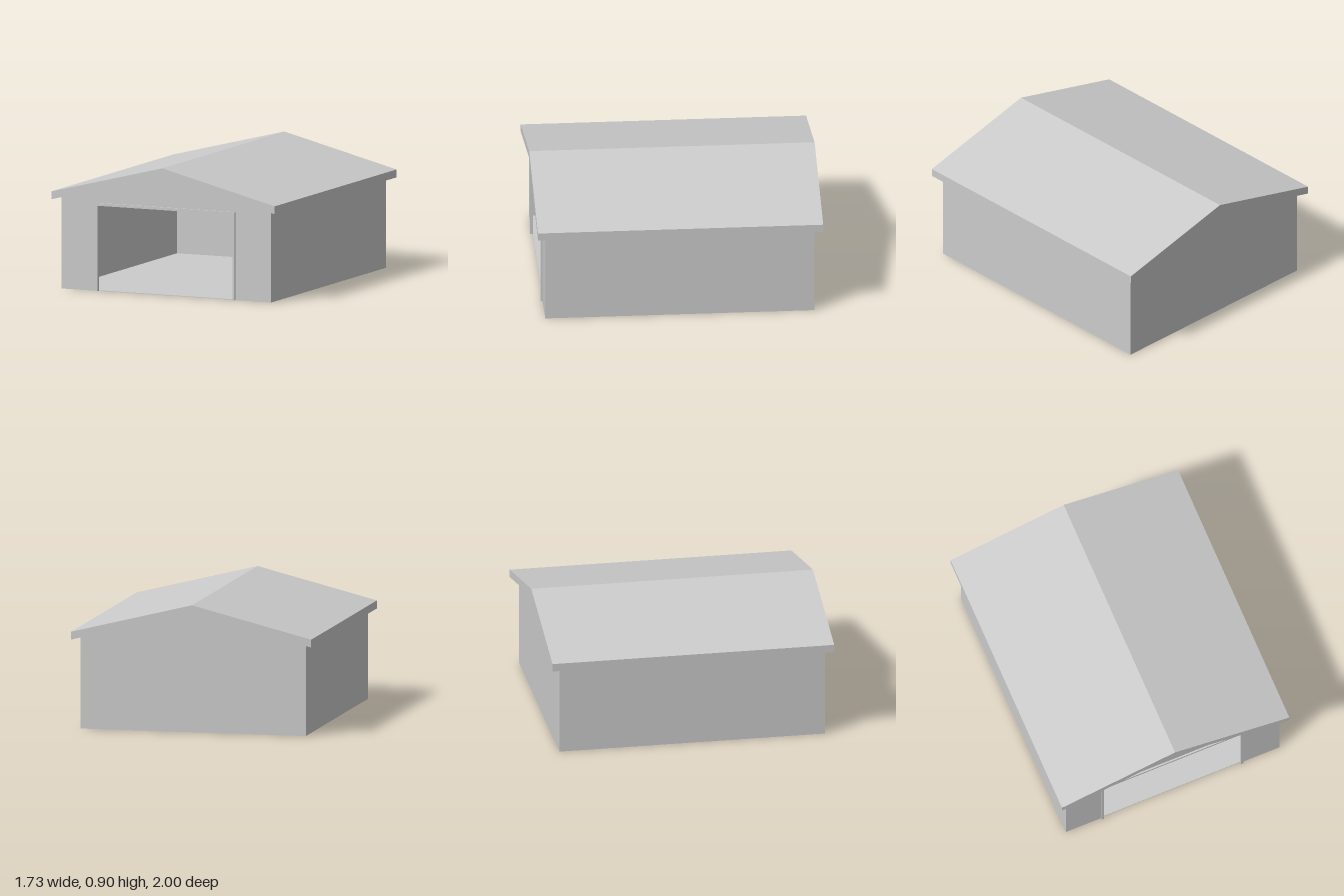
import * as THREE from 'three';

const MID = -0.005;               // ridge and doorway centre line
const WALL_X = 0.81, FRONT = 0.945, BACK = -0.942, T = 0.006;
const ROOF_X = 0.863, EAVE = 0.634, RIDGE = 0.849, SLAB = 0.056;
const DOOR_W = 0.52, DOOR_H = 0.603, TRIM = 0.019;

// Height of the roof underside at x
const under = (x) => RIDGE - (RIDGE - EAVE) * Math.abs(x - MID) / (ROOF_X - Math.sign(x) * MID);

const outline = (points) => new THREE.Shape(points.map(([x, y]) => new THREE.Vector2(x, y)));

export function createModel() {
  const group = new THREE.Group();
  const material = new THREE.MeshStandardMaterial({ color: 0xcccccc, flatShading: true, side: THREE.DoubleSide });

  const add = (name, geometry) => {
    const mesh = new THREE.Mesh(geometry, material);
    mesh.name = name;
    group.add(mesh);
    return mesh;
  };
  // Profile in the x-y plane pushed from z0 to z1
  const extrude = (name, points, z0, z1) => {
    const geometry = new THREE.ExtrudeGeometry(outline(points), { depth: z1 - z0, bevelEnabled: false });
    return add(name, geometry.translate(0, 0, z0));
  };

  // Gabled end walls, the front one cut out for the doorway
  const gable = [[WALL_X, 0], [WALL_X, under(WALL_X)], [MID, RIDGE], [-WALL_X, under(-WALL_X)], [-WALL_X, 0]];
  const doorway = [
    [MID - DOOR_W, 0], [MID - DOOR_W, DOOR_H], [MID + DOOR_W, DOOR_H], [MID + DOOR_W, 0],
  ];
  extrude('backWall', gable, BACK, BACK + T);
  extrude('frontWall', [...gable, ...doorway], FRONT - T, FRONT);

  // Side walls
  for (const [name, s] of [['leftWall', 1], ['rightWall', -1]]) {
    const h = under(s * WALL_X);
    const wall = add(name, new THREE.BoxGeometry(T, h, FRONT - BACK - 2 * T));
    wall.position.set(s * (WALL_X - T / 2), h / 2, (FRONT + BACK) / 2);
  }

  // Floor
  const floor = add('floor', new THREE.BoxGeometry(2 * (WALL_X - T), 0.004, FRONT - BACK - 2 * T));
  floor.position.set(0, 0.002, (FRONT + BACK) / 2);

  // Door frame standing slightly proud of the front wall
  const outer = DOOR_W + TRIM;
  extrude('doorFrame', [
    [MID - outer, 0], [MID - DOOR_W, 0], [MID - DOOR_W, DOOR_H], [MID + DOOR_W, DOOR_H],
    [MID + DOOR_W, 0], [MID + outer, 0], [MID + outer, DOOR_H + TRIM], [MID - outer, DOOR_H + TRIM],
  ], FRONT - T, FRONT + 0.012);

  // Pitched roof slab with overhanging eaves
  extrude('roof', [
    [-ROOF_X, EAVE], [MID, RIDGE], [ROOF_X, EAVE],
    [ROOF_X, EAVE + SLAB], [MID, RIDGE + SLAB], [-ROOF_X, EAVE + SLAB],
  ], -1, 1);

  return group;
}
